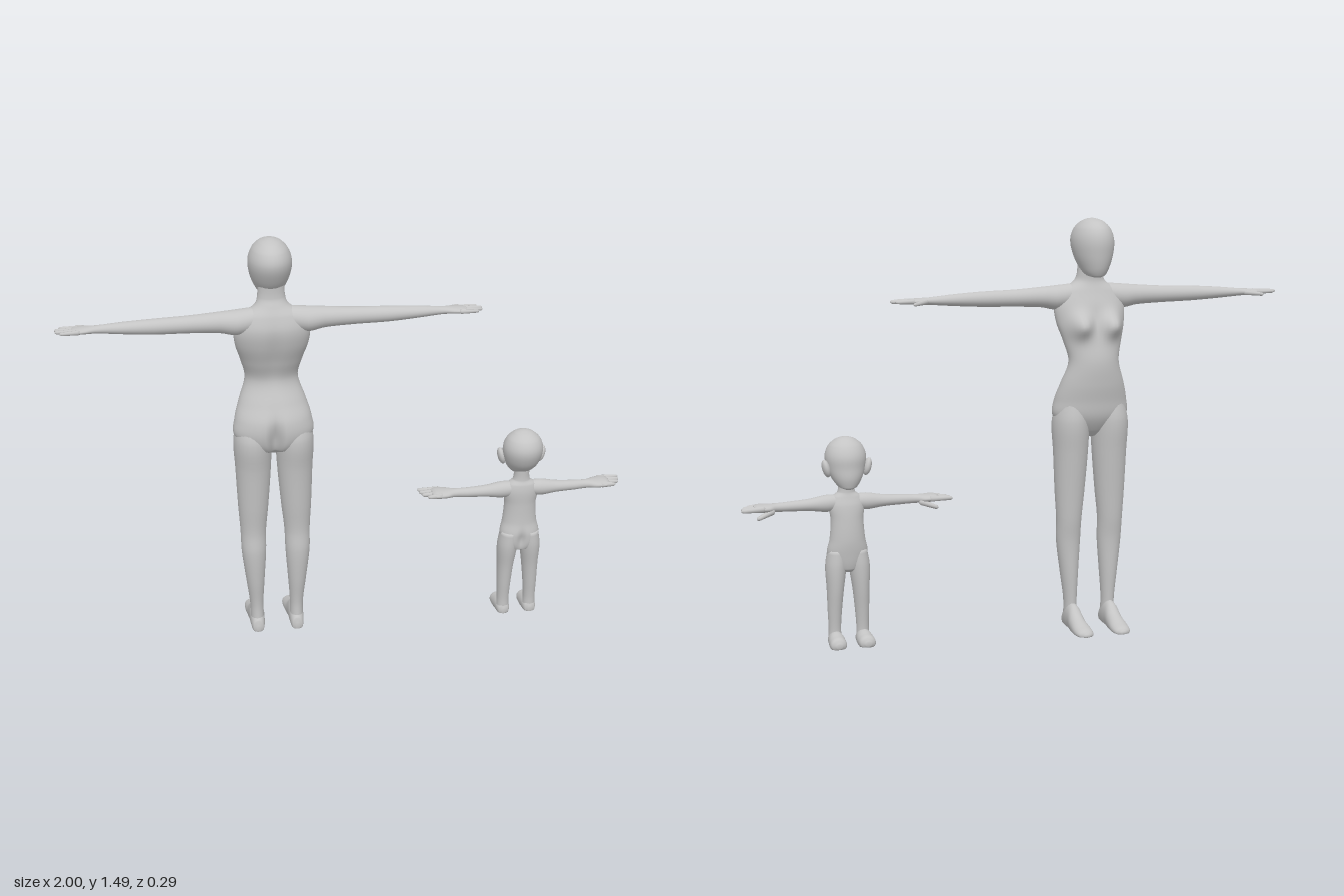
import * as THREE from 'three';

const skin = new THREE.MeshStandardMaterial({ color: 0xc4c4c4 });
skin.name = 'plain grey';

// Smooth loft through oval sections. Each row: [s, aCentre, aHalf, bMin, bMax];
// s runs along the axis, a and b lie across it.
const place = {
  x: (s, a, b) => new THREE.Vector3(s, b, a),
  y: (s, a, b) => new THREE.Vector3(a, s, b),
  z: (s, a, b) => new THREE.Vector3(a, b, s),
};

function loft(name, axis, rows, { warp, sides = 24, steps = 5 } = {}) {
  const n = rows.length;
  const slope = (i, k) => {
    const p = rows[Math.max(i - 1, 0)], q = rows[Math.min(i + 1, n - 1)];
    return (q[k] - p[k]) / (q[0] - p[0]);
  };
  const sections = [];
  for (let i = 0; i < n - 1; i++) {
    const A = rows[i], B = rows[i + 1], d = B[0] - A[0];
    for (let j = i ? 1 : 0; j <= steps; j++) {
      const t = j / steps, u = 1 - t;
      sections.push(A.map((v, k) => k === 0 ? v + d * t
        : v * (1 + 2 * t) * u * u + B[k] * t * t * (3 - 2 * t)
          + d * (slope(i, k) * t * u * u - slope(i + 1, k) * t * t * u)));
    }
  }
  const pos = [], idx = [];
  const add = (s, a, b) => {
    const p = place[axis](s, a, b);
    if (warp) warp(p);
    pos.push(p.x, p.y, p.z);
  };
  for (const [s, c, h, lo, hi] of sections)
    for (let k = 0; k < sides; k++) {
      const g = k / sides * Math.PI * 2;
      add(s, c + h * Math.cos(g), (lo + hi) / 2 + (hi - lo) / 2 * Math.sin(g));
    }
  const last = sections.length - 1, start = pos.length / 3;
  for (const r of [sections[0], sections[last]]) add(r[0], r[1], (r[3] + r[4]) / 2);
  const flip = (rows[n - 1][0] > rows[0][0]) === (axis === 'z');
  const tri = (a, b, c) => flip ? idx.push(a, c, b) : idx.push(a, b, c);
  for (let k = 0; k < sides; k++) {
    const m = (k + 1) % sides;
    for (let i = 0; i < last; i++) {
      const a = i * sides + k, b = i * sides + m;
      tri(a, a + sides, b);
      tri(b, a + sides, b + sides);
    }
    tri(start, k, m);
    tri(start + 1, last * sides + m, last * sides + k);
  }
  const geo = new THREE.BufferGeometry();
  geo.setAttribute('position', new THREE.Float32BufferAttribute(pos, 3));
  geo.setIndex(idx);
  geo.computeVertexNormals();
  const mesh = new THREE.Mesh(geo, skin);
  mesh.name = name;
  return mesh;
}

// Tapered, slightly flattened finger between two points
function finger(name, from, to, r) {
  const a = new THREE.Vector3(...from), b = new THREE.Vector3(...to);
  const geo = new THREE.CapsuleGeometry(r, a.distanceTo(b) - r, 4, 10);
  const p = geo.attributes.position;
  for (let i = 0; i < p.count; i++) {
    const k = p.getY(i) > 0 ? 0.7 : 1;
    p.setX(i, p.getX(i) * k);
    p.setZ(i, p.getZ(i) * k);
  }
  geo.computeVertexNormals();
  const mesh = new THREE.Mesh(geo, skin);
  mesh.name = name;
  mesh.position.copy(a).lerp(b, 0.5);
  mesh.quaternion.setFromUnitVectors(new THREE.Vector3(0, 1, 0), b.clone().sub(a).normalize());
  return mesh;
}

const gauss = (v, c, w) => Math.exp(-(((v - c) / w) ** 2));
const onGround = p => { p.y = Math.max(p.y, 0); };

// Body from its section rows; limbs are mirrored left and right
function person(name, x, d) {
  const g = new THREE.Group();
  g.name = name;
  g.position.x = x;
  g.add(loft('torso', 'y', d.torso, { warp: d.shape, sides: 48, steps: 7 }));
  g.add(loft('head', 'y', d.head, { sides: 28 }));
  for (const [side, word] of [[1, 'left'], [-1, 'right']]) {
    const across = rows => rows.map(([s, c, ...r]) => [s, c * side, ...r]);
    const along = rows => rows.map(([s, ...r]) => [s * side, ...r]);
    g.add(loft(word + 'Leg', 'y', across(d.leg)));
    g.add(loft(word + 'Foot', 'z', across(d.foot), { warp: onGround }));
    g.add(loft(word + 'Arm', 'x', along(d.arm)));
    d.fingers.forEach(([a, b, r], i) => g.add(finger(word + (i ? 'Finger' + i : 'Thumb'),
      [a[0] * side, a[1], a[2]], [b[0] * side, b[1], b[2]], r)));
    if (d.ear) {
      const ear = new THREE.Mesh(new THREE.SphereGeometry(1, 16, 12), skin);
      ear.name = word + 'Ear';
      ear.position.set(d.ear[0] * side, d.ear[1], d.ear[2]);
      ear.scale.set(0.014, 0.032, 0.022);
      ear.rotation.z = -0.25 * side;
      g.add(ear);
    }
  }
  return g;
}

const adult = {
  torso: [
    [0.705, 0, 0.03, 0.01, 0.06], [0.73, 0, 0.085, -0.015, 0.1], [0.78, 0, 0.138, -0.042, 0.12],
    [0.84, 0, 0.135, -0.052, 0.118], [0.9, 0, 0.118, -0.062, 0.092], [0.98, 0, 0.093, -0.066, 0.064],
    [1.05, 0, 0.107, -0.052, 0.085], [1.12, 0, 0.127, -0.03, 0.11], [1.18, 0, 0.13, -0.018, 0.12],
    [1.23, 0, 0.105, 0, 0.108], [1.262, 0, 0.06, 0.01, 0.092], [1.29, 0, 0.048, 0.01, 0.08],
    [1.36, 0, 0.045, 0.005, 0.08]],
  // chest, seat cleft and spine groove
  shape: p => {
    const ax = Math.abs(p.x), front = THREE.MathUtils.clamp((0.04 - p.z) / 0.05, 0, 1);
    p.z -= front * 0.053 * gauss(ax, 0.06, 0.038) * gauss(p.y, 1.11, 0.042);
    if (p.z > 0.04) p.z -= 0.035 * gauss(ax, 0, 0.018) * gauss(p.y, 0.77, 0.07)
      + 0.008 * gauss(ax, 0, 0.025) * gauss(p.y, 1.08, 0.12);
  },
  head: [
    [1.281, 0, 0.012, -0.045, -0.015], [1.287, 0, 0.032, -0.054, 0.02], [1.315, 0, 0.052, -0.066, 0.068],
    [1.36, 0, 0.069, -0.074, 0.102], [1.41, 0, 0.075, -0.076, 0.121], [1.45, 0, 0.063, -0.062, 0.11],
    [1.475, 0, 0.04, -0.032, 0.08], [1.485, 0, 0.018, 0.002, 0.05], [1.488, 0, 0.002, 0.022, 0.028]],
  leg: [
    [0.84, 0.068, 0.055, -0.03, 0.09], [0.76, 0.074, 0.067, -0.044, 0.113], [0.65, 0.074, 0.063, -0.034, 0.1],
    [0.5, 0.077, 0.054, -0.02, 0.088], [0.4, 0.079, 0.046, -0.012, 0.08], [0.32, 0.079, 0.044, -0.003, 0.086],
    [0.2, 0.076, 0.033, 0, 0.078], [0.1, 0.073, 0.024, 0.004, 0.066], [0.03, 0.072, 0.024, 0.005, 0.07]],
  foot: [
    [0.08, 0.072, 0.006, 0, 0.02], [0.073, 0.072, 0.02, -0.012, 0.045], [0.03, 0.072, 0.027, -0.02, 0.085],
    [-0.01, 0.072, 0.028, -0.02, 0.085], [-0.05, 0.072, 0.031, -0.02, 0.055], [-0.1, 0.071, 0.034, -0.015, 0.034],
    [-0.135, 0.07, 0.027, -0.01, 0.022], [-0.147, 0.069, 0.008, 0, 0.01]],
  arm: [
    [0.03, 0.055, 0.04, 1.18, 1.258], [0.12, 0.057, 0.046, 1.162, 1.25], [0.18, 0.056, 0.038, 1.172, 1.245],
    [0.28, 0.056, 0.031, 1.177, 1.238], [0.4, 0.058, 0.028, 1.18, 1.234], [0.5, 0.055, 0.024, 1.186, 1.228],
    [0.59, 0.052, 0.018, 1.193, 1.22], [0.63, 0.052, 0.028, 1.195, 1.218], [0.665, 0.054, 0.031, 1.197, 1.216],
    [0.675, 0.054, 0.024, 1.2, 1.213]],
  fingers: [[[0.605, 1.205, 0.038], [0.658, 1.2, -0.002], 0.009],
    ...[0.714, 0.728, 0.726, 0.71].map((t, i) =>
      [[0.65, 1.207, 0.031 + i * 0.0155], [t, 1.207, 0.028 + i * 0.018], 0.0085])],
};

const child = {
  torso: [
    [0.262, 0, 0.02, 0.04, 0.08], [0.275, 0, 0.05, 0.028, 0.108], [0.33, 0, 0.072, 0.018, 0.117],
    [0.38, 0, 0.063, 0.014, 0.108], [0.45, 0, 0.058, 0.018, 0.105], [0.5, 0, 0.063, 0.025, 0.106],
    [0.53, 0, 0.052, 0.035, 0.102], [0.548, 0, 0.031, 0.04, 0.095], [0.6, 0, 0.028, 0.04, 0.095]],
  // seat cleft
  shape: p => {
    if (p.z > 0.06) p.z -= 0.015 * gauss(p.x, 0, 0.014) * gauss(p.y, 0.31, 0.035);
  },
  head: [
    [0.563, 0, 0.015, 0.008, 0.04], [0.57, 0, 0.032, 0.003, 0.068], [0.6, 0, 0.054, -0.004, 0.112],
    [0.635, 0, 0.067, -0.003, 0.136], [0.675, 0, 0.072, -0.002, 0.146], [0.71, 0, 0.06, 0.014, 0.134],
    [0.732, 0, 0.036, 0.038, 0.108], [0.74, 0, 0.016, 0.056, 0.086], [0.742, 0, 0.002, 0.068, 0.074]],
  ear: [0.073, 0.635, 0.05],
  leg: [
    [0.34, 0.036, 0.034, 0.025, 0.112], [0.28, 0.042, 0.037, 0.02, 0.112], [0.2, 0.046, 0.03, 0.024, 0.1],
    [0.12, 0.049, 0.025, 0.034, 0.092], [0.06, 0.05, 0.022, 0.04, 0.086], [0.02, 0.05, 0.023, 0.04, 0.086]],
  foot: [
    [0.09, 0.05, 0.006, 0, 0.018], [0.083, 0.05, 0.02, -0.01, 0.035], [0.05, 0.05, 0.027, -0.015, 0.05],
    [0.01, 0.051, 0.03, -0.015, 0.043], [-0.015, 0.052, 0.027, -0.01, 0.036], [-0.026, 0.052, 0.01, 0.004, 0.02]],
  arm: [
    [0.02, 0.068, 0.024, 0.485, 0.535], [0.07, 0.068, 0.029, 0.478, 0.538], [0.13, 0.068, 0.023, 0.485, 0.528],
    [0.2, 0.067, 0.019, 0.488, 0.523], [0.245, 0.064, 0.019, 0.49, 0.521], [0.275, 0.061, 0.034, 0.491, 0.521],
    [0.315, 0.06, 0.039, 0.495, 0.521], [0.328, 0.06, 0.03, 0.499, 0.516]],
  fingers: [[[0.262, 0.497, 0.042], [0.317, 0.477, 0.026], 0.011],
    ...[0.37, 0.367, 0.36, 0.343].map((t, i) =>
      [[0.295, 0.508, 0.031 + i * 0.019], [t, 0.507, 0.026 + i * 0.021], 0.0105])],
};

export function createModel() {
  const model = new THREE.Group();
  model.name = 'adultAndChild';
  model.add(person('adult', -0.27, adult), person('child', 0.625, child));
  return model;
}
